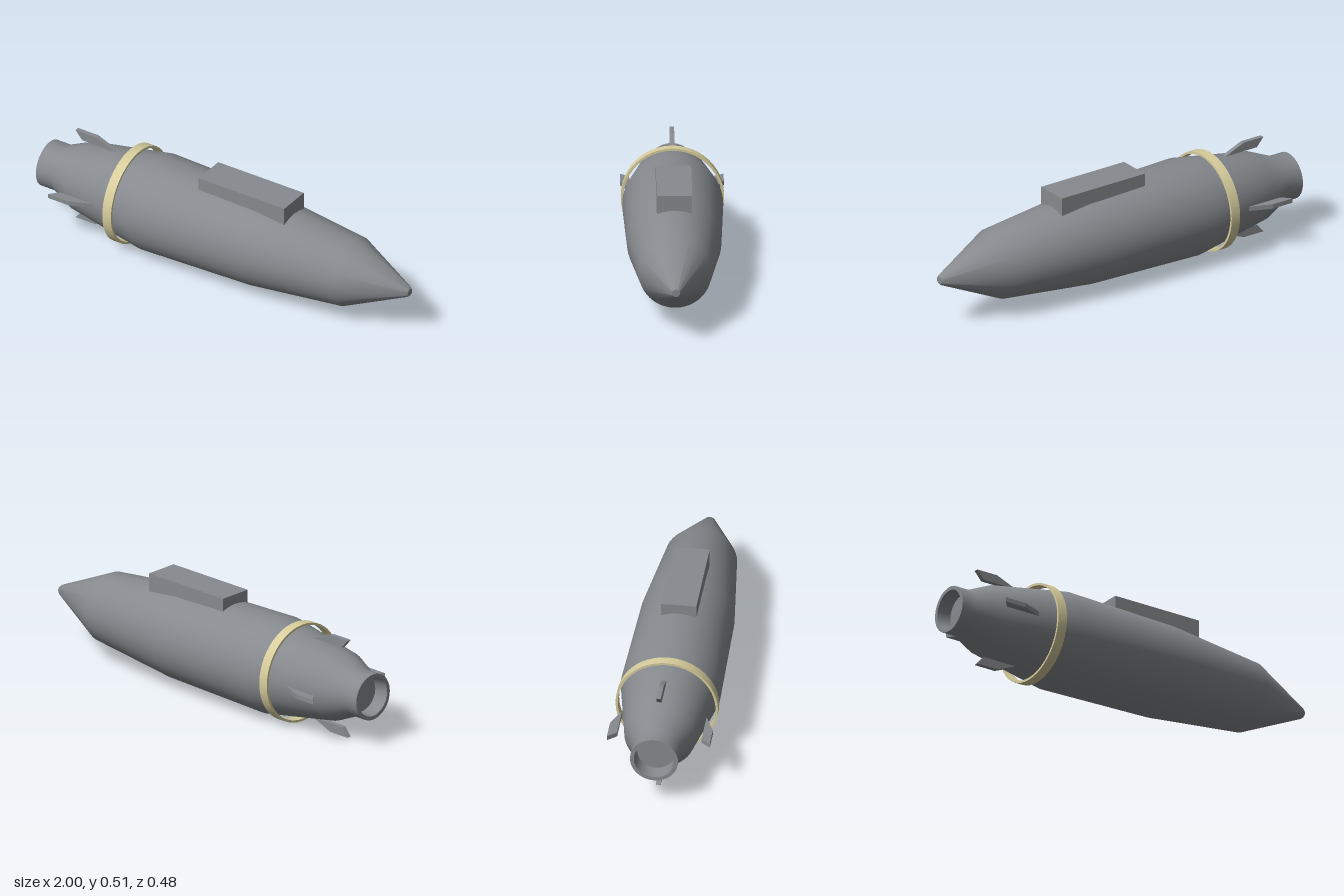
import * as THREE from 'three';
import { toCreasedNormals } from 'three/addons/utils/BufferGeometryUtils.js';

const AXIS_HEIGHT = 0.242;

// Profile points are [x along the axis, radius]; the result lies along x
function turned(profile, segments = 48) {
  const points = profile.map(([x, r]) => new THREE.Vector2(r, x));
  const geometry = new THREE.LatheGeometry(points, segments);
  geometry.rotateZ(-Math.PI / 2);
  return toCreasedNormals(geometry, 0.5);
}

export function createModel() {
  const group = new THREE.Group();
  group.name = 'finnedPod';
  const grey = new THREE.MeshStandardMaterial({ color: 0x868a8e });
  grey.name = 'hull grey';
  const tan = new THREE.MeshStandardMaterial({ color: 0xd6cc9c });
  tan.name = 'band tan';

  const add = (name, geometry, material, parent = group) => {
    const mesh = new THREE.Mesh(geometry, material);
    mesh.name = name;
    parent.add(mesh);
    return mesh;
  };

  // Hull: recessed tail opening, tail collar, swollen middle and blunt nose
  add('hull', turned([
    [-0.93, 0], [-0.93, 0.088], [-1, 0.094], [-1, 0.112], [-0.92, 0.112],
    [-0.8, 0.165], [-0.4, 0.234], [0.2, 0.219], [0.68, 0.168],
    [0.99, 0.026], [1, 0.018], [1, 0],
  ]), grey).position.y = AXIS_HEIGHT;

  // Band standing slightly off the hull
  add('band', turned([
    [-0.548, 0.228], [-0.548, 0.239], [-0.5, 0.239], [-0.5, 0.228], [-0.548, 0.228],
  ]), tan).position.y = AXIS_HEIGHT;

  // Mounting block on top, sunk into the hull
  const block = add('mountingBlock', new THREE.BoxGeometry(0.474, 0.12, 0.164), grey);
  block.position.set(0.12, 0.456, 0);

  // Four swept tail fins around the axis
  const finShape = new THREE.Shape([
    [-0.81, 0.197], [-0.63, 0.197], [-0.735, 0.24], [-0.847, 0.24],
  ].map(([x, y]) => new THREE.Vector2(x, y)));
  const finGeometry = new THREE.ExtrudeGeometry(finShape, { depth: 0.022, bevelEnabled: false });
  finGeometry.translate(0, 0, -0.011);
  const fins = new THREE.Group();
  fins.name = 'tailFins';
  fins.position.y = AXIS_HEIGHT;
  group.add(fins);
  for (let i = 0; i < 4; i++) {
    add('tailFin', finGeometry, grey, fins).rotation.x = i * Math.PI / 2;
  }

  return group;
}
